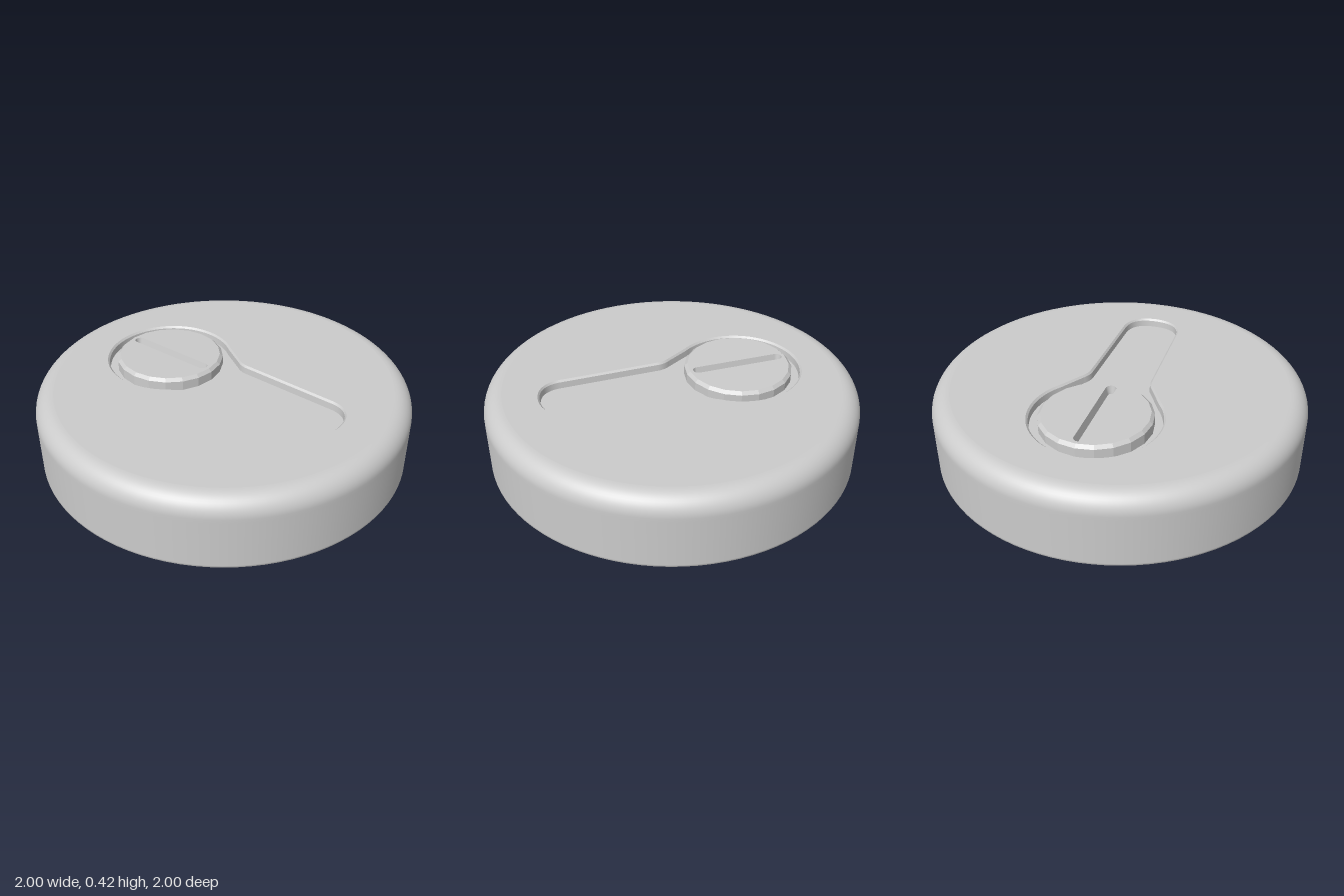
import * as THREE from 'three';

const TOP = 0.4, FLOOR = 0.355, DIAL_Z = -0.38;
const material = new THREE.MeshStandardMaterial({ color: 0xcccccc, side: THREE.DoubleSide });
const flatMaterial = new THREE.MeshStandardMaterial({ color: 0xcccccc, flatShading: true, side: THREE.DoubleSide });

function addMesh(parent, name, geometry, mat = material) {
  const mesh = new THREE.Mesh(geometry, mat);
  mesh.name = name;
  parent.add(mesh);
  return mesh;
}

// Outline of the keyhole recess, drawn counterclockwise with shape y = -z
function keyholeOutline(inset) {
  const w = 0.175 - inset, e = 0.165 - inset, end = -0.72 + inset;
  const r = 0.348 - inset, a = -0.66;
  const cx = r * Math.cos(a), cy = -DIAL_Z + r * Math.sin(a);
  const s = new THREE.Shape();
  s.moveTo(e, -0.57);
  s.lineTo(w, -0.03);
  s.quadraticCurveTo(w, 0.01, w + 0.025, 0.045);
  s.lineTo(cx, cy);
  s.absarc(0, -DIAL_Z, r, a, Math.PI - a, false);
  s.lineTo(-w - 0.025, 0.045);
  s.quadraticCurveTo(-w, 0.01, -w, -0.03);
  s.lineTo(-e, -0.57);
  s.bezierCurveTo(-e, -0.67, -0.09, end, 0, end);
  s.bezierCurveTo(0.09, end, e, -0.67, e, -0.57);
  return s;
}

// Strip of wall between matching outlines at two heights
function wallGeometry(upper, lower, yUpper, yLower) {
  const position = [], index = [];
  upper.forEach((p, i) => {
    const q = lower[i];
    position.push(p.x, yUpper, -p.y, q.x, yLower, -q.y);
    if (i < upper.length - 1) {
      const k = 2 * i;
      index.push(k, k + 2, k + 1, k + 1, k + 2, k + 3);
    }
  });
  const g = new THREE.BufferGeometry();
  g.setAttribute('position', new THREE.Float32BufferAttribute(position, 3));
  g.setIndex(index);
  g.computeVertexNormals();
  return g;
}

function slotShape(halfWidth, halfLength) {
  const s = new THREE.Shape();
  const c = halfLength - halfWidth;
  s.absarc(0, c, halfWidth, 0, Math.PI, false);
  s.absarc(0, -c, halfWidth, Math.PI, 2 * Math.PI, false);
  s.closePath();
  return s;
}

function polygonPoints(sides, radius) {
  return Array.from({ length: sides }, (_, i) => {
    const a = Math.PI / 2 + (i / sides) * Math.PI * 2;
    return new THREE.Vector2(Math.cos(a) * radius, Math.sin(a) * radius);
  });
}

export function createModel() {
  const model = new THREE.Group();
  model.name = 'keyholeDisc';

  // Round body: side wall and softly rounded upper edge
  const round = 0.1;
  const profile = [new THREE.Vector2(0.99, 0), new THREE.Vector2(1, 0.01), new THREE.Vector2(1, 0.02), new THREE.Vector2(1, 0.28)];
  for (let i = 0; i <= 12; i++) {
    const a = (i / 12) * Math.PI / 2;
    profile.push(new THREE.Vector2(1 - round + round * Math.cos(a), TOP - round + round * Math.sin(a)));
  }
  addMesh(model, 'bodySide', new THREE.LatheGeometry(profile, 96));
  const base = addMesh(model, 'bodyBase', new THREE.CircleGeometry(0.99, 96));
  base.rotation.x = Math.PI / 2;

  // Top face with the keyhole opening
  const rim = keyholeOutline(0);
  const face = new THREE.Shape();
  face.absarc(0, 0, 1 - round, 0, Math.PI * 2, false);
  face.holes.push(rim);
  const topFace = addMesh(model, 'topFace', new THREE.ShapeGeometry(face, 48).rotateX(-Math.PI / 2));
  topFace.position.y = TOP;

  // Recess: slim chamfer, wall and floor
  const loops = [0, 0.01, 0.013].map((inset) => keyholeOutline(inset).getPoints(48));
  addMesh(model, 'recessChamfer', wallGeometry(loops[0], loops[1], TOP, TOP - 0.01));
  addMesh(model, 'recessWall', wallGeometry(loops[1], loops[2], TOP - 0.01, FLOOR));
  const floor = addMesh(model, 'recessFloor',
    new THREE.ShapeGeometry(keyholeOutline(0.013), 48).rotateX(-Math.PI / 2));
  floor.position.y = FLOOR;

  // Faceted dial with a long slot, tipped slightly to one side
  const dial = new THREE.Group();
  dial.name = 'dial';
  dial.position.set(0, TOP + 0.02, DIAL_Z);
  dial.rotation.z = -0.018;
  model.add(dial);

  const dialFace = new THREE.Shape(polygonPoints(20, 0.277));
  dialFace.holes.push(slotShape(0.028, 0.258));
  addMesh(dial, 'dialFace', new THREE.ShapeGeometry(dialFace, 8).rotateX(-Math.PI / 2));
  const rings = [0.277, 0.294, 0.294].map((r) => {
    const pts = polygonPoints(20, r);
    return [...pts, pts[0]];
  });
  addMesh(dial, 'dialBevel', wallGeometry(rings[1], rings[0], -0.016, 0), flatMaterial);
  addMesh(dial, 'dialSide', wallGeometry(rings[2], rings[1], -0.075, -0.016), flatMaterial);

  // Slot cut into the dial
  const upper = slotShape(0.028, 0.258).getPoints(8);
  const lower = slotShape(0.018, 0.25).getPoints(8);
  addMesh(dial, 'slotWall', wallGeometry(upper, lower, 0, -0.045));
  const slotFloor = addMesh(dial, 'slotFloor',
    new THREE.ShapeGeometry(slotShape(0.018, 0.25), 8).rotateX(-Math.PI / 2));
  slotFloor.position.y = -0.045;

  return model;
}
